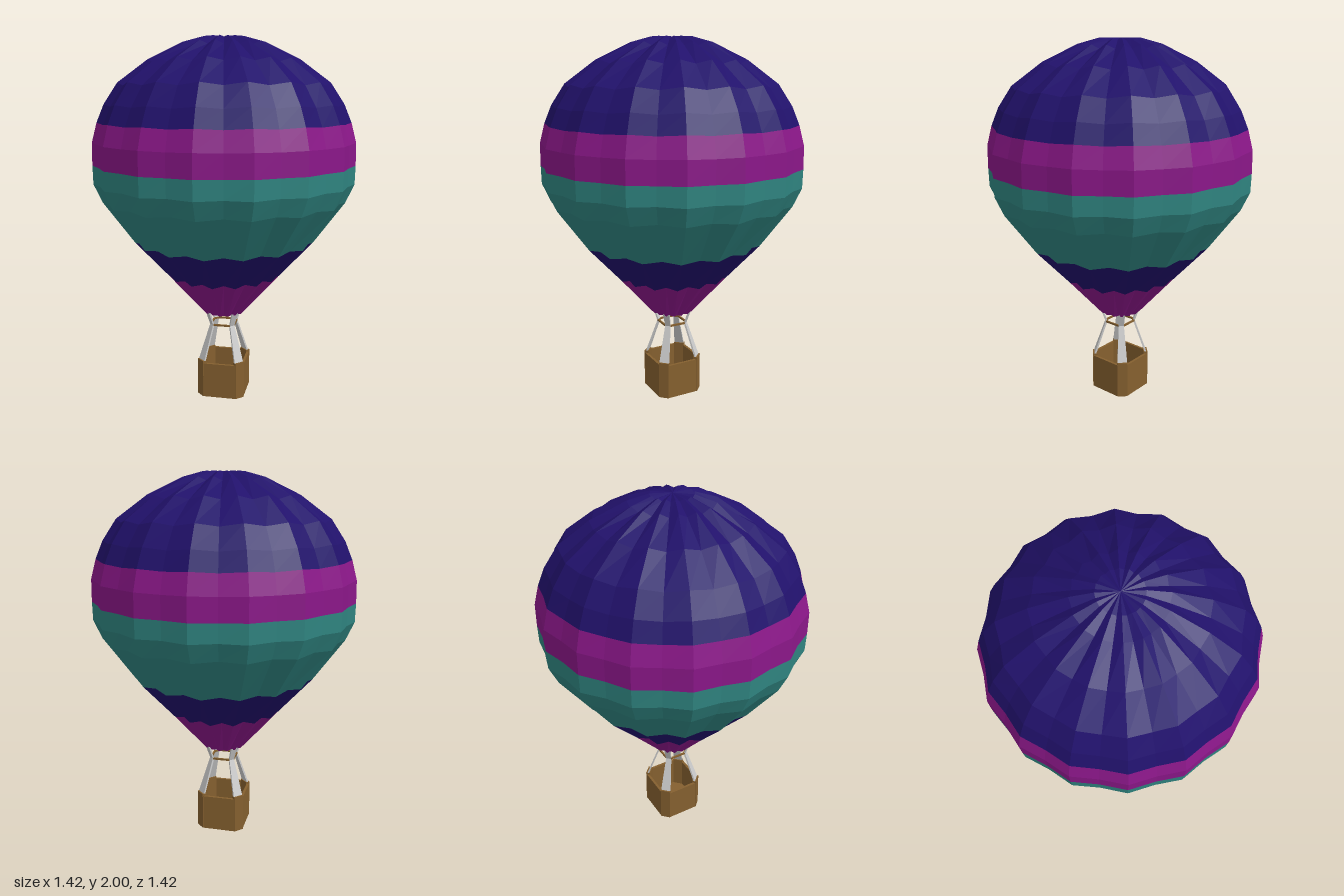
import * as THREE from 'three';

const material = (color) =>
  new THREE.MeshStandardMaterial({ color, flatShading: true, side: THREE.DoubleSide });

const navy = material(0x21116b);
const magenta = material(0x8a1788);
const teal = material(0x2f8480);
const wicker = material(0x85602f);
const grey = material(0xcccccc);

// Skin a stack of closed rings (listed bottom to top) with flat faces
function loft(rings) {
  const pos = [];
  const n = rings[0].length;
  for (let i = 0; i < rings.length - 1; i++) {
    for (let j = 0; j < n; j++) {
      const k = (j + 1) % n;
      const a = rings[i][j], b = rings[i][k], c = rings[i + 1][k], d = rings[i + 1][j];
      for (const p of [a, b, c, a, c, d]) pos.push(p.x, p.y, p.z);
    }
  }
  const geo = new THREE.BufferGeometry();
  geo.setAttribute('position', new THREE.Float32BufferAttribute(pos, 3));
  geo.computeVertexNormals();
  return geo;
}

function add(parent, name, geo, mat) {
  const mesh = new THREE.Mesh(geo, mat);
  mesh.name = name;
  parent.add(mesh);
  return mesh;
}

// Envelope profile [radius, height] from hem to crown
const PROFILE = [
  [0.115, 0.48], [0.31, 0.7], [0.495, 0.9], [0.663, 1.13], [0.708, 1.23], [0.71, 1.33],
  [0.708, 1.45], [0.68, 1.555], [0.64, 1.65], [0.567, 1.76], [0.405, 1.88],
  [0.22, 1.97], [0.11, 2.0], [0, 2.0],
];
const GORES = 16;

// One envelope ring: ridges at the seams, shallow valleys between them
function envelopeRing(i) {
  const [r, y] = PROFILE[i];
  const [r0, y0] = PROFILE[Math.max(i - 1, 0)];
  const [r1, y1] = PROFILE[Math.min(i + 1, PROFILE.length - 1)];
  const len = Math.hypot(r1 - r0, y1 - y0);
  const crown = i >= PROFILE.length - 2;
  const inset = r === 0 ? 0 : crown ? 0.01 : 0.021;
  const ring = [];
  for (let j = 0; j < GORES * 2; j++) {
    const depth = j % 2 ? inset : 0;
    const angle = (j * Math.PI) / GORES;
    const radius = r - (depth * (y1 - y0)) / len;
    const height = i === 0 ? y : y + (depth * (r1 - r0)) / len;
    ring.push(new THREE.Vector3(radius * Math.sin(angle), height, radius * Math.cos(angle)));
  }
  return ring;
}

function createEnvelope() {
  const group = new THREE.Group();
  group.name = 'envelope';
  const rings = PROFILE.map((_, i) => envelopeRing(i));
  const bands = [
    ['skirtBand', 0, 1, magenta],
    ['lowerBand', 1, 2, navy],
    ['middleBand', 2, 5, teal],
    ['upperBand', 5, 7, magenta],
    ['crown', 7, 13, navy],
  ];
  for (const [name, from, to, mat] of bands) add(group, name, loft(rings.slice(from, to + 1)), mat);
  return group;
}

// Square outline with cut corners
function cutSquare(half, cut, PathType) {
  const s = half - cut;
  return new PathType([
    [half, -s], [half, s], [s, half], [-s, half],
    [-half, s], [-half, -s], [-s, -half], [s, -half],
  ].map(([x, y]) => new THREE.Vector2(x, y)));
}

function extrudeUp(outer, inner, height) {
  if (inner) outer.holes.push(inner);
  return new THREE.ExtrudeGeometry(outer, { depth: height, bevelEnabled: false }).rotateX(-Math.PI / 2);
}

function createBasket() {
  const group = new THREE.Group();
  group.name = 'basket';
  const walls = extrudeUp(cutSquare(0.132, 0.04, THREE.Shape), cutSquare(0.118, 0.035, THREE.Path), 0.2);
  add(group, 'basketWalls', walls, wicker);
  add(group, 'basketFloor', extrudeUp(cutSquare(0.125, 0.038, THREE.Shape), null, 0.015), wicker);

  // Taller corner posts
  for (let i = 0; i < 4; i++) {
    const post = new THREE.BoxGeometry(0.058, 0.213, 0.024)
      .translate(0, 0.1065, 0.149)
      .rotateY(Math.PI / 4 + (i * Math.PI) / 2);
    add(group, 'cornerPost', post, wicker);
  }
  return group;
}

function createRigging() {
  const group = new THREE.Group();
  group.name = 'rigging';

  // Flat straps: basket corner, load frame, envelope hem as [radius, height, width]
  const stations = [[0.152, 0.2, 0.058], [0.08, 0.41, 0.03], [0.108, 0.49, 0.038]];
  const t = 0.005;
  const sections = stations.map(([r, y, w]) =>
    [[-1, 1], [1, 1], [1, -1], [-1, -1]].map(([a, b]) => new THREE.Vector3((a * w) / 2, y, r + b * t)));
  for (let i = 0; i < 4; i++) {
    const strap = add(group, 'strap', loft(sections), grey);
    strap.rotation.y = Math.PI / 4 + (i * Math.PI) / 2;
  }

  // Thin load frame holding the straps together
  const frame = extrudeUp(cutSquare(0.07, 0.023, THREE.Shape), cutSquare(0.061, 0.02, THREE.Path), 0.01);
  add(group, 'loadFrame', frame, wicker).position.y = 0.405;
  return group;
}

export function createModel() {
  const model = new THREE.Group();
  model.name = 'hotAirBalloon';
  model.add(createEnvelope(), createBasket(), createRigging());
  return model;
}
